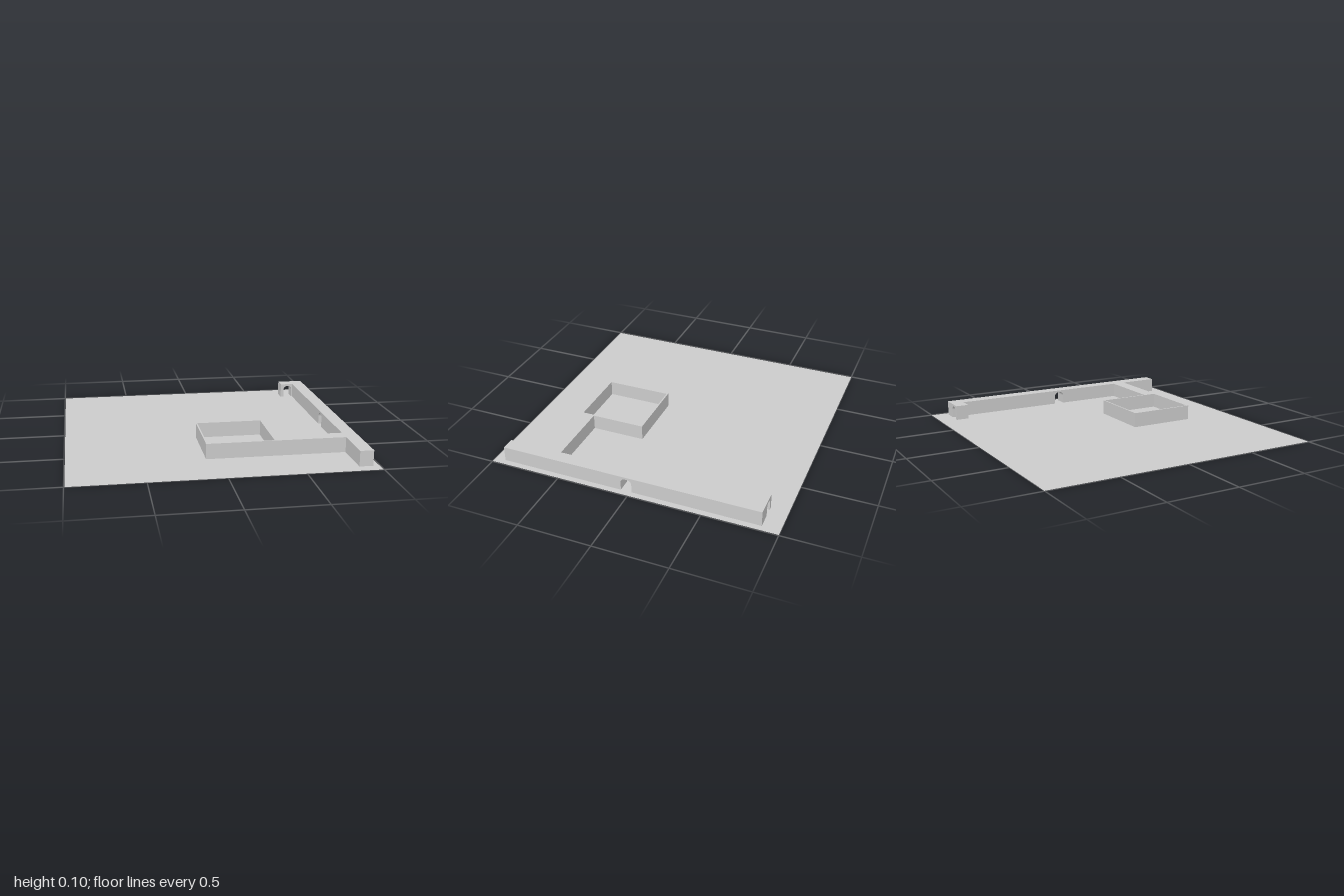
import * as THREE from 'three';

const HEIGHT = 0.105;
const grey = new THREE.MeshStandardMaterial({ color: 0xcccccc, side: THREE.DoubleSide });

function addMesh(group, name, geometry) {
  const mesh = new THREE.Mesh(geometry, grey);
  mesh.name = name;
  group.add(mesh);
  return mesh;
}

// Wall elevation running from a to b, with a round-cornered doorway between d0 and d1
function archedWall(a, b, d0, d1, thickness) {
  const r = 0.03, top = 0.09;
  const s = new THREE.Shape();
  s.moveTo(a, 0);
  s.lineTo(d0, 0);
  s.lineTo(d0, top - r);
  s.absarc(d0 + r, top - r, r, Math.PI, Math.PI / 2, true);
  s.absarc(d1 - r, top - r, r, Math.PI / 2, 0, true);
  s.lineTo(d1, 0);
  s.lineTo(b, 0);
  s.lineTo(b, HEIGHT);
  s.lineTo(a, HEIGHT);
  s.closePath();
  return new THREE.ExtrudeGeometry(s, { depth: thickness, bevelEnabled: false, curveSegments: 6 });
}

function rectangle(target, x0, x1, z0, z1) {
  target.moveTo(x0, -z0);
  target.lineTo(x0, -z1);
  target.lineTo(x1, -z1);
  target.lineTo(x1, -z0);
  target.closePath();
  return target;
}

export function createModel() {
  const model = new THREE.Group();
  model.name = 'walledYard';

  // Flat ground sheet
  addMesh(model, 'groundSheet', new THREE.PlaneGeometry(1.99, 2).rotateX(-Math.PI / 2));

  // Long outer wall with its gateway
  const longWall = addMesh(model, 'longWall', archedWall(-0.88, 0.925, -0.01, 0.065, 0.092));
  longWall.rotation.y = -Math.PI / 2;
  longWall.position.x = 0.954;

  // Short return at the back end, with a doorway
  const returnWall = addMesh(model, 'returnWall', archedWall(0.766, 0.862, 0.79, 0.855, 0.092));
  returnWall.position.z = -0.88;

  // Thick wall linking the long wall to the enclosure
  const link = addMesh(model, 'linkWall', new THREE.BoxGeometry(0.476, HEIGHT, 0.097));
  link.position.set(0.624, HEIGHT / 2, 0.5915);

  // Square enclosure with thin walls
  const plan = rectangle(new THREE.Shape(), -0.083, 0.386, 0.171, 0.64);
  plan.holes.push(rectangle(new THREE.Path(), -0.073, 0.376, 0.181, 0.63));
  const ring = new THREE.ExtrudeGeometry(plan, { depth: HEIGHT, bevelEnabled: false });
  addMesh(model, 'enclosure', ring.rotateX(-Math.PI / 2));

  return model;
}
